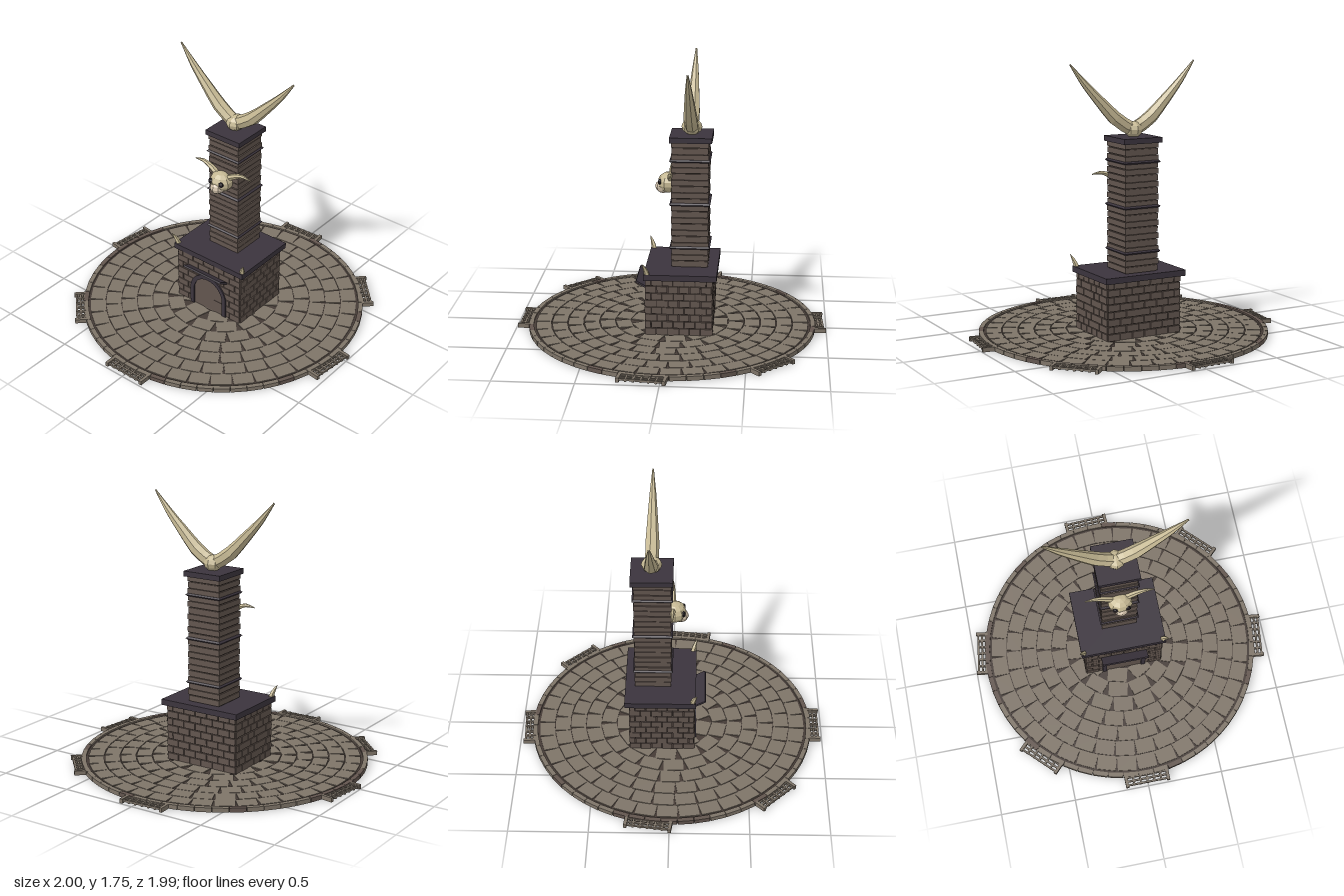
import * as THREE from 'three';
import { mergeGeometries } from 'three/addons/utils/BufferGeometryUtils.js';

const mat = (name, color) => {
  const m = new THREE.MeshStandardMaterial({ color, flatShading: true });
  m.name = name;
  return m;
};

// Box centred at a point, optionally turned about y
function box(w, h, d, x, y, z, turn = 0) {
  return new THREE.BoxGeometry(w, h, d).rotateY(turn).translate(x, y, z);
}

// Box placed on a circle: its depth points outwards
const ringBox = (w, h, d, r, y, a) => box(w, h, d, r * Math.sin(a), y, r * Math.cos(a), a);

// Tapered tube along a curve
function horn(points, radii, steps, sides) {
  const curve = new THREE.CatmullRomCurve3(points.map(p => new THREE.Vector3(...p)));
  const geo = new THREE.TubeGeometry(curve, steps, 1, sides);
  const pos = geo.attributes.position, v = new THREE.Vector3();
  for (let i = 0; i < pos.count; i++) {
    const t = Math.floor(i / (sides + 1)) / steps;
    const f = t * (radii.length - 1), k = Math.min(Math.floor(f), radii.length - 2);
    const r = THREE.MathUtils.lerp(radii[k], radii[k + 1], f - k);
    const c = curve.getPointAt(t);
    v.fromBufferAttribute(pos, i).sub(c).multiplyScalar(r).add(c);
    pos.setXYZ(i, v.x, v.y, v.z);
  }
  geo.computeVertexNormals();
  return geo;
}

export function createModel() {
  const group = new THREE.Group();
  const paving = mat('paving stone', 0x7e7468);
  const brick = mat('brown brick', 0x62554e);
  const mortar = mat('dark mortar', 0x453b36);
  const slate = mat('purple slate', 0x3b343d);
  const bone = mat('bone', 0xc6b994);
  const paleBone = mat('pale bone', 0xd2c2ab);
  const black = mat('eye black', 0x221d22);

  let seed = 7;
  const rand = () => (seed = (seed * 16807) % 2147483647) / 2147483647;
  const add = (name, geo, material) => {
    const mesh = new THREE.Mesh(Array.isArray(geo) ? mergeGeometries(geo) : geo, material);
    mesh.name = name;
    group.add(mesh);
    return mesh;
  };

  // Round plaza: foundation and rings of paving slabs with wedge-shaped joints
  add('plazaFoundation', new THREE.CylinderGeometry(0.915, 0.915, 0.02, 64).translate(0, 0.01, 0), mortar);
  const slabs = [];
  for (let ring = 0; ring < 8; ring++) {
    const inner = 0.055 + ring * 0.104;
    const n = Math.max(6, Math.round(inner * 2 * Math.PI / 0.125));
    const w = 2 * inner * Math.tan(Math.PI / n);
    for (let i = 0; i < n; i++) {
      const a = (i + (ring % 2) * 0.5) / n * Math.PI * 2 + ring * 0.13;
      slabs.push(ringBox(w, 0.01, 0.099, inner + 0.05, 0.02 + rand() * 0.001, a));
    }
  }
  add('pavingSlabs', slabs, paving);

  // Kerb stones, a few of them darker
  const kerb = [], darkKerb = [];
  for (let i = 0; i < 56; i++) {
    const a = i / 56 * Math.PI * 2;
    (rand() < 0.18 ? darkKerb : kerb).push(ringBox(0.1, 0.028, 0.03, 0.913, 0.016, a));
  }
  add('kerbStones', kerb, paving);
  add('darkKerbStones', darkKerb, brick);

  // Flat slatted grates around the kerb
  const grates = [];
  for (const deg of [0, 83.4, 134, 183.3, 262, 315]) {
    const parts = [-1, 1].map(s => box(0.02, 0.028, 0.08, s * 0.14, 0.016, 0));
    for (const z of [-0.026, 0, 0.026]) parts.push(box(0.28, 0.012, 0.012, 0, 0.018, z));
    for (let i = -2; i <= 2; i++) parts.push(box(0.012, 0.02, 0.064, i * 0.046, 0.016, 0));
    const a = THREE.MathUtils.degToRad(deg);
    grates.push(mergeGeometries(parts).translate(0, 0, 0.95).rotateY(a));
  }
  add('kerbGrates', grates, paving);

  // Hearth block: mortar core with staggered brick courses on four sides
  const cz = -0.06;
  add('hearthCore', box(0.508, 0.39, 0.406, 0, 0.205, cz), mortar);
  const bricks = [];
  const rows = 8, rowH = 0.375 / rows;
  for (let r = 0; r < rows; r++) {
    const y = 0.025 + (r + 0.5) * rowH;
    for (const [len, off, turn] of [[0.52, 0.205, 0], [0.52, 0.205, Math.PI], [0.418, 0.256, Math.PI / 2], [0.418, 0.256, -Math.PI / 2]]) {
      const n = 6, w = len / n;
      for (let i = 0; i <= n; i++) {
        const a = Math.max(-len / 2, -len / 2 + (i - (r % 2) * 0.5) * w);
        const b = Math.min(len / 2, -len / 2 + (i + 1 - (r % 2) * 0.5) * w);
        if (b - a < 0.01) continue;
        const g = box(b - a - 0.005, rowH - 0.005, 0.012, (a + b) / 2, y, off + rand() * 0.004);
        bricks.push(g.rotateY(turn).translate(0, 0, cz));
      }
    }
  }
  add('hearthBricks', bricks, brick);
  add('hearthSlab', box(0.57, 0.038, 0.46, 0, 0.414, -0.07), slate);

  // Arched fire opening with a raised surround
  const archShape = (r, y0) => {
    const s = new THREE.Shape();
    s.moveTo(-r, y0);
    s.lineTo(r, y0);
    s.lineTo(r, 0.14);
    s.absarc(0, 0.14, r, 0, Math.PI, false);
    s.lineTo(-r, y0);
    return s;
  };
  add('archPanel', new THREE.ExtrudeGeometry(archShape(0.13, 0.022), { depth: 0.008, bevelEnabled: false, curveSegments: 10 })
    .translate(0, 0, 0.146), brick);
  const surround = new THREE.Shape();
  surround.moveTo(0.118, 0.022);
  surround.lineTo(0.148, 0.022);
  surround.lineTo(0.148, 0.14);
  surround.absarc(0, 0.14, 0.148, 0, Math.PI, false);
  surround.lineTo(-0.148, 0.022);
  surround.lineTo(-0.118, 0.022);
  surround.lineTo(-0.118, 0.14);
  surround.absarc(0, 0.14, 0.118, Math.PI, 0, true);
  add('archSurround', new THREE.ExtrudeGeometry(surround, { depth: 0.02, bevelEnabled: false, curveSegments: 10 })
    .translate(0, 0, 0.142), slate);

  // Tilted hood above the arch
  add('archHood', new THREE.BoxGeometry(0.31, 0.012, 0.09).rotateX(-0.53).translate(0, 0.32, 0.182), slate);

  // Bone spikes on the front corners of the slab
  for (const s of [-1, 1]) {
    add('cornerSpike', horn([[s * 0.265, 0.425, 0.138], [s * 0.276, 0.465, 0.148], [s * 0.297, 0.508, 0.167]],
      [0.018, 0.014, 0.001], 3, 5), bone);
  }

  // Chimney: narrow core with stacked courses
  const kz = -0.12;
  add('chimneyCore', box(0.218, 0.83, 0.218, 0, 0.84, kz), mortar);
  const courses = [], nc = 20, ch = 0.82 / nc;
  for (let i = 0; i < nc; i++) {
    const w = 0.232 + (i % 2) * 0.006;
    courses.push(box(w, ch - 0.006, w, 0, 0.435 + (i + 0.5) * ch, kz));
  }
  add('chimneyCourses', courses, brick);

  // Pointed bands and the top slab
  const bandProfile = [[0.15, -0.012], [0.17, -0.009], [0.182, 0], [0.17, 0.009], [0.15, 0.012]]
    .map(p => new THREE.Vector2(...p));
  for (const y of [0.563, 0.848, 1.13]) {
    add('chimneyBand', new THREE.LatheGeometry(bandProfile, 4).rotateY(Math.PI / 4).translate(0, y, kz), slate);
  }
  add('chimneySlab', box(0.268, 0.034, 0.268, 0, 1.265, -0.124), slate);

  // Great horns crowning the chimney, with a knob between them
  const hz = -0.125;
  add('hornKnob', new THREE.SphereGeometry(1, 8, 6).scale(0.06, 0.052, 0.066).translate(0, 1.326, hz), bone);
  for (const s of [-1, 1]) {
    add('greatHorn', horn([[0, 1.322, hz], [s * 0.11, 1.385, hz], [s * 0.23, 1.503, hz], [s * 0.34, 1.62, hz], [s * 0.44, 1.743, hz]],
      [0.045, 0.045, 0.034, 0.022, 0.005], 8, 7), bone);
  }

  // Horned skull on the chimney front
  add('skull', new THREE.SphereGeometry(1, 9, 7).scale(0.08, 0.066, 0.07).translate(0, 0.962, 0.022), bone);
  add('skullMuzzle', new THREE.SphereGeometry(1, 8, 6).scale(0.048, 0.044, 0.052).translate(0, 0.934, 0.056), paleBone);
  for (const s of [-1, 1]) {
    add('skullEye', new THREE.SphereGeometry(1, 7, 5).scale(0.02, 0.018, 0.014).translate(s * 0.04, 0.973, 0.074), black);
    add('skullHorn', horn([[s * 0.04, 0.99, 0.005], [s * 0.09, 1.022, 0.005], [s * 0.155, 1.047, 0.005], [s * 0.222, 1.04, 0.005]],
      [0.022, 0.018, 0.012, 0.003], 6, 6), bone);
  }
  return group;
}
